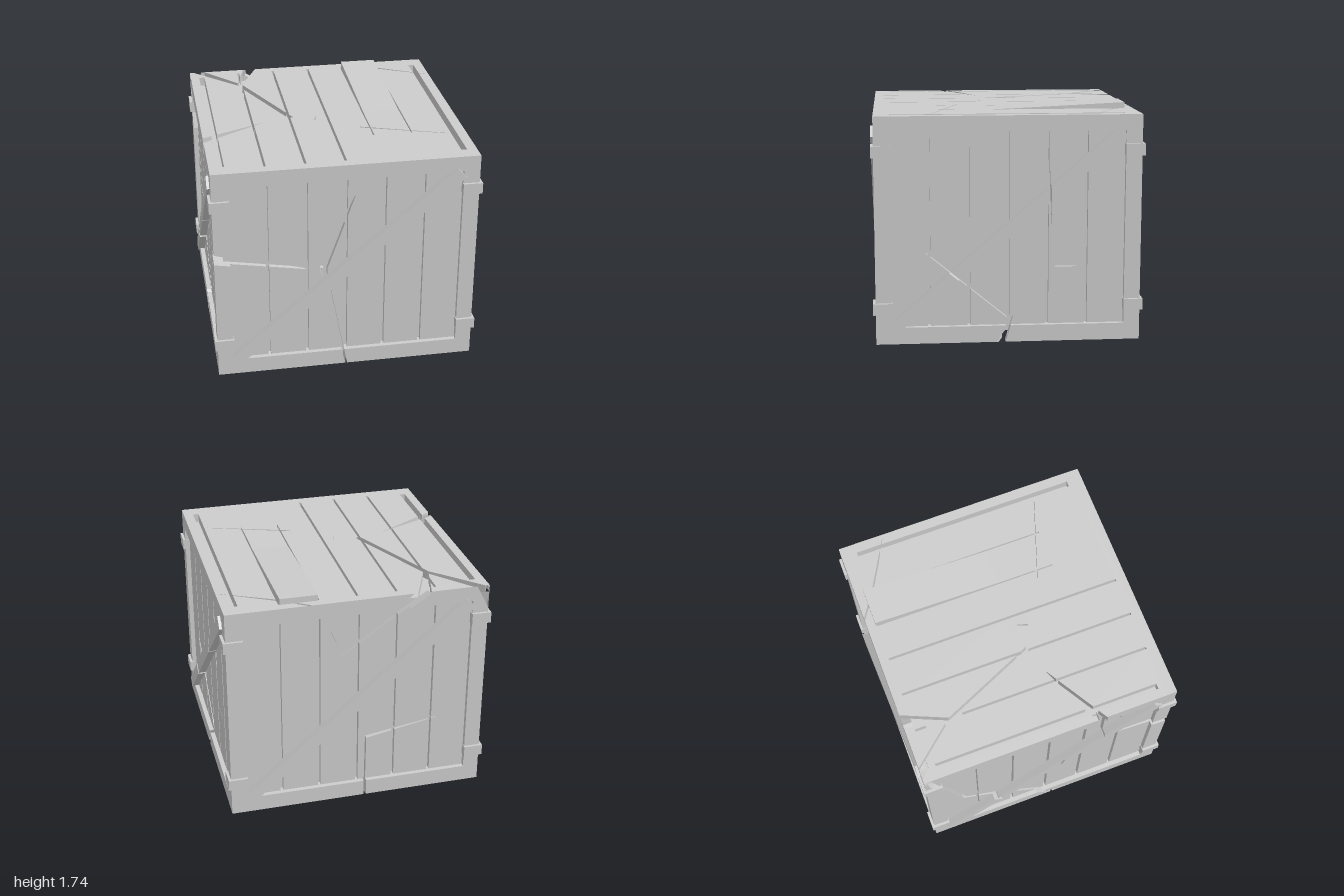
import * as THREE from 'three';

const EPS = 1e-6;
const rect = (u0, v0, u1, v1) => [[u0, v0], [u1, v0], [u1, v1], [u0, v1]];
const side = (a, b, p) => (b[0] - a[0]) * (p[1] - a[1]) - (b[1] - a[1]) * (p[0] - a[0]);
const area = (p) => p.reduce((s, a, i) => {
  const b = p[(i + 1) % p.length];
  return s + (a[0] * b[1] - a[1] * b[0]) / 2;
}, 0);
const ccw = (p) => (area(p) < 0 ? p.slice().reverse() : p);

// Keep the part of a convex polygon left (sign 1) or right (sign -1) of a line
function clip(poly, a, b, sign) {
  const out = [];
  poly.forEach((p, i) => {
    const q = poly[(i + 1) % poly.length];
    const sp = sign * side(a, b, p), sq = sign * side(a, b, q);
    if (sp >= 0) out.push(p);
    if (sp * sq < 0) {
      const t = sp / (sp - sq);
      out.push([p[0] + (q[0] - p[0]) * t, p[1] + (q[1] - p[1]) * t]);
    }
  });
  return out.length > 2 && area(out) > EPS ? out : null;
}

// Convex polygon minus convex hole, as convex pieces
function subtract(poly, hole) {
  const parts = [];
  let rest = poly;
  for (let i = 0; i < hole.length; i++) {
    const a = hole[i], b = hole[(i + 1) % hole.length];
    const outside = clip(rest, a, b, -1);
    if (outside) parts.push(outside);
    rest = clip(rest, a, b, 1);
    if (!rest) return [poly];
  }
  return parts;
}

// A crack follows points [u, v, width]; each stretch is one tapered quad
function crack(...pts) {
  const quads = [];
  for (let i = 0; i + 1 < pts.length; i++) {
    const [a, b, wa] = pts[i], [c, d, wb] = pts[i + 1];
    const l = Math.hypot(c - a, d - b), nx = -(d - b) / l / 2, ny = (c - a) / l / 2;
    quads.push(ccw([[a + nx * wa, b + ny * wa], [a - nx * wa, b - ny * wa],
      [c - nx * wb, d - ny * wb], [c + nx * wb, d + ny * wb]]));
  }
  return quads;
}

// Slab from depth w0 to w1 with holes cut through; no walls on the box's outer edges
function slab(outline, holes, w0, w1, isEdge = () => false) {
  let pieces = [ccw(outline)];
  for (const h of holes) pieces = pieces.flatMap((p) => subtract(p, h));
  const inside = (pt) => pieces.some((p) => p.every((a, i) => side(a, p[(i + 1) % p.length], pt) >= 0));
  const pos = [];
  for (const p of pieces) {
    for (let i = 1; i + 1 < p.length; i++) {
      for (const q of [p[0], p[i], p[i + 1]]) pos.push(q[0], q[1], w1);
    }
    p.forEach((a, i) => {
      const b = p[(i + 1) % p.length], l = Math.hypot(b[0] - a[0], b[1] - a[1]);
      if (l < 1e-5) return;
      const n = Math.max(1, Math.ceil(l / 0.06));
      const at = (t) => [a[0] + (b[0] - a[0]) * t, a[1] + (b[1] - a[1]) * t];
      for (let k = 0; k < n; k++) {
        const m = at((k + 0.5) / n), s = at(k / n), e = at((k + 1) / n);
        const o = [m[0] + (b[1] - a[1]) / l * 1e-4, m[1] - (b[0] - a[0]) / l * 1e-4];
        if (inside(o) || isEdge(o)) continue;
        pos.push(...s, w0, ...e, w0, ...e, w1, ...s, w0, ...e, w1, ...s, w1);
      }
    });
  }
  const g = new THREE.BufferGeometry();
  g.setAttribute('position', new THREE.Float32BufferAttribute(pos, 3));
  g.computeVertexNormals();
  return g;
}

export function createModel() {
  const crate = new THREE.Group();
  crate.name = 'crate';
  const wood = new THREE.MeshStandardMaterial({ color: 0xcccccc, side: THREE.DoubleSide });
  wood.name = 'grey wood';
  const add = (parent, name, geo) => {
    const m = new THREE.Mesh(geo, wood);
    m.name = name;
    parent.add(m);
    return m;
  };
  const H = 1.69, R = 0.98, DEEP = 0.07;
  const seams = [-0.585, -0.293, 0, 0.287, 0.577];

  // Inner body seen at the bottom of seams and cracks
  add(crate, 'innerBody', new THREE.BoxGeometry(1.82, H - 2 * DEEP, 1.82)).position.y = H / 2;

  // Four walls: frame, planks and diagonal brace, each with its own cracks
  const walls = [
    { name: 'frontWall', cutBrace: false, cracks: [
      ...crack([-1, 1.007, 0.08], [-0.28, 0.845, 0.006]),
      ...crack([0.005, -0.02, 0.015], [-0.155, 0.78, 0.035]),
      ...crack([-0.155, 0.77, 0.03], [-0.17, 0.84, 0.06], [0.07, 1.44, 0.004])] },
    { name: 'rightWall', cutBrace: true, cracks: [
      ...crack([-0.6, 0.69, 0.035], [0.01, 0.18, 0.03]),
      ...crack([0.025, 0.19, 0.02], [-0.06, -0.02, 0.06]),
      ...crack([0.285, 1.355, 0.035], [0.32, 0.88, 0.006]),
      ...crack([0.35, 0.56, 0.008], [0.5, 0.56, 0.004])] },
    { name: 'backWall', cutBrace: false, cracks: [
      ...crack([0.5, 1.71, 0.1], [0.27, 1.53, 0.05], [-0.12, 1.23, 0.015], [-0.21, 1.45, 0.004]),
      ...crack([0.06, -0.02, 0.02], [0.06, 0.51, 0.03]),
      ...crack([0.05, 0.5, 0.025], [0.63, 0.6, 0.004]),
      ...crack([0.92, 1.71, 0.08], [1, 1.5, 0.03])] },
    { name: 'leftWall', cutBrace: true, cracks: [
      ...crack([-0.97, 1.71, 0.06], [-0.69, 0.73, 0.03], [-0.43, 0.52, 0.05], [0.09, -0.02, 0.03]),
      ...crack([0.4, 1.71, 0.07], [0.43, 1.23, 0.015]),
      ...crack([1, 1.007, 0.08], [0.35, 1.07, 0.01]),
      ...crack([0.12, 0.98, 0.02], [0.03, 0.62, 0.004])] },
  ];
  const opening = rect(-0.86, 0.125, 0.86, 1.575);
  const brace = [[-0.88, 0.15], [-0.82, 0.085], [0.875, 1.53], [0.81, 1.605]];
  const sideEdge = (p) => Math.abs(p[0]) > R || p[1] < 0 || p[1] > H;
  walls.forEach((w, i) => {
    const g = new THREE.Group();
    g.name = w.name;
    g.rotation.y = i * Math.PI / 2;
    crate.add(g);
    add(g, 'frame', slab(rect(-R, 0, R, H), [opening, ...w.cracks], R - DEEP, R, sideEdge));
    const gaps = seams.map((u) => rect(u - 0.011, 0.1, u + 0.011, 1.6));
    add(g, 'planks', slab(opening, [...gaps, ...w.cracks], R - DEEP, R - 0.035));
    add(g, 'diagonalBrace', slab(brace, w.cutBrace ? w.cracks : [], R - 0.04, 1));
  });

  // Lid with plank seams, long side slots and cracks
  const flatEdge = (p) => Math.abs(p[0]) > R || Math.abs(p[1]) > R;
  const lid = new THREE.Group();
  lid.name = 'lid';
  lid.rotation.x = -Math.PI / 2;
  crate.add(lid);
  const lidHoles = [
    ...[-0.89, 0.883].map((u) => rect(u - 0.022, -0.86, u + 0.022, 0.86)),
    ...seams.slice(0, 3).map((u) => rect(u - 0.009, -0.9, u + 0.009, 0.91)),
    ...[0.285, 0.575].map((u) => rect(u - 0.005, -0.5, u + 0.005, 0.91)),
    ...crack([-0.92, 1, 0.07], [-0.6, 0.65, 0.035]),
    ...crack([-0.48, 1, 0.1], [-0.6, 0.65, 0.04], [-0.28, -0.08, 0.04]),
    ...crack([-1, -0.4, 0.07], [-0.5, -0.14, 0.004]),
    ...crack([0.33, 1, 0.015], [0.57, 0.84, 0.02], [0.95, 0.64, 0.004]),
    ...crack([0.21, -0.34, 0.015], [0.84, -0.56, 0.006]),
    ...crack([-0.08, -0.07, 0.008], [-0.105, -0.15, 0.012]),
  ];
  add(lid, 'lidPlanks', slab(rect(-R, -R, R, R), lidHoles, H - DEEP, H, flatEdge));

  // Loose lid plank, lifted at the back
  const profile = new THREE.Shape([[-0.06, 1.69], [-0.06, 1.65], [0.915, 1.65], [0.915, 1.735]]
    .map(([x, y]) => new THREE.Vector2(x, y)));
  const loose = new THREE.ExtrudeGeometry(profile, { depth: 0.28, bevelEnabled: false });
  const plank = add(crate, 'loosePlank', loose);
  plank.rotation.y = Math.PI / 2;
  plank.position.x = 0.29;

  // Underside: frame around a recessed panel
  const base = new THREE.Group();
  base.name = 'underside';
  base.rotation.x = Math.PI / 2;
  crate.add(base);
  const baseCracks = [
    ...crack([1, 0.05, 0.06], [0.39, -0.12, 0.025], [0.19, -0.39, 0.004]),
    ...crack([-1, 0.05, 0.04], [-0.51, -0.16, 0.006]),
    ...crack([0.005, 1, 0.02], [0, 0.7, 0.004]),
    ...crack([-0.06, -1, 0.02], [-0.05, -0.8, 0.004]),
  ];
  const well = rect(-0.87, -0.87, 0.87, 0.87);
  add(base, 'baseFrame', slab(rect(-R, -R, R, R), [well, ...baseCracks], -DEEP, 0, flatEdge));
  add(base, 'basePanel', slab(well, baseCracks, -DEEP, -0.025));

  // Brackets around the four upright corners
  for (const x of [-1, 1]) for (const z of [-1, 1]) for (const y of [0.27, 1.433]) {
    add(crate, 'cornerBracket', new THREE.BoxGeometry(0.145, 0.085, 0.145))
      .position.set(x * 0.9275, y, z * 0.9275);
  }
  return crate;
}
